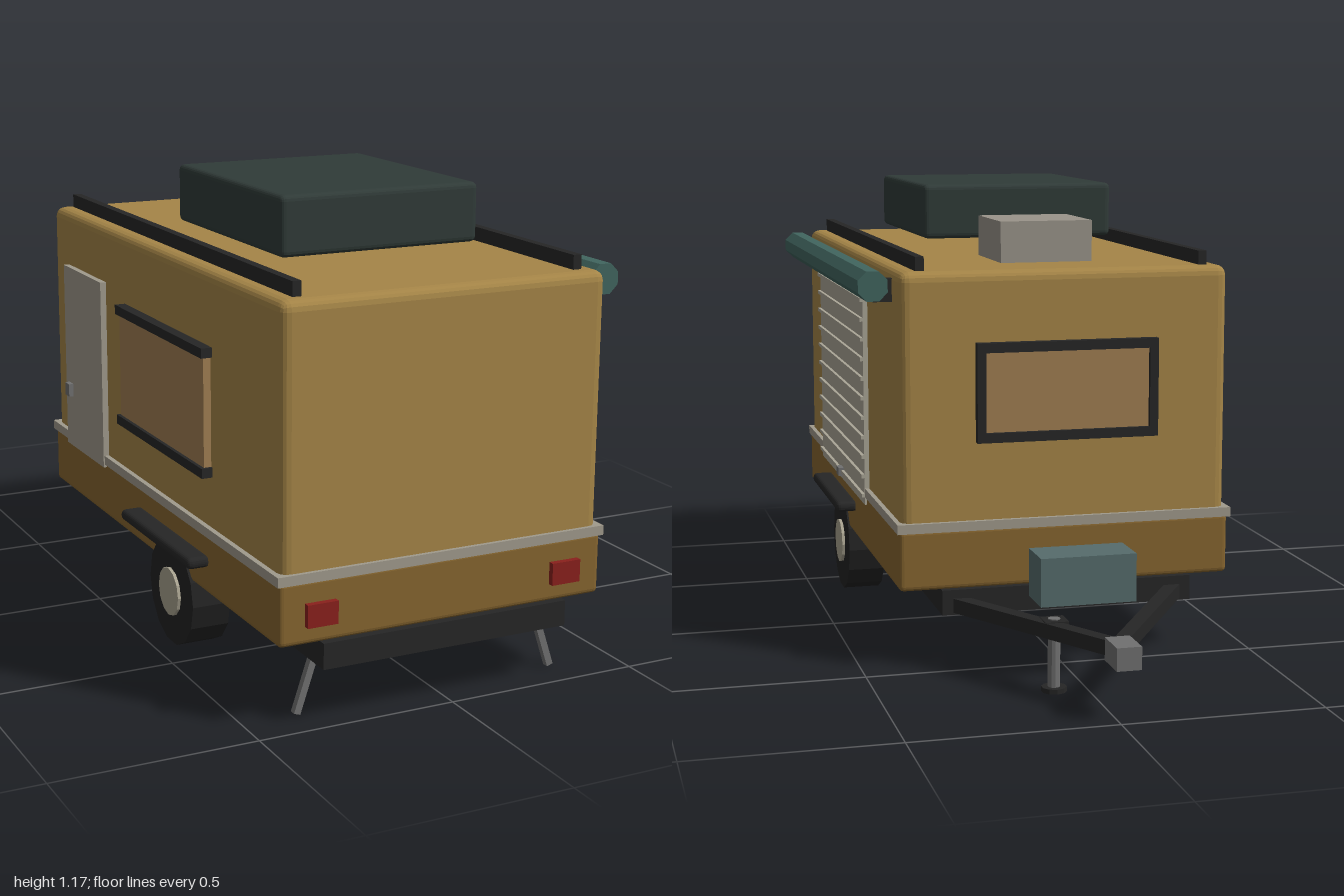
import * as THREE from 'three';
import { RoundedBoxGeometry } from 'three/addons/geometries/RoundedBoxGeometry.js';

const mat = (color) => new THREE.MeshStandardMaterial({ color, flatShading: true });
const M = {
  sand: mat(0xa58547), sandDark: mat(0x86652f), black: mat(0x262626), tyre: mat(0x222222),
  grey: mat(0xa09a8c), slat: mat(0xaaa596), metal: mat(0x707070), vent: mat(0x9a948a),
  slate: mat(0x303b38), teal: mat(0x41655f), toolbox: mat(0x566c6c), red: mat(0x8a201c),
  glass: mat(0xa07e52), hub: mat(0xa8a28f),
};
const CX = -0.018; // centre line of the trailer

export function createModel() {
  const model = new THREE.Group();
  const add = (name, geo, material, x = 0, y = 0, z = 0) => {
    const mesh = new THREE.Mesh(geo, material);
    mesh.name = name;
    mesh.position.set(x, y, z);
    model.add(mesh);
    return mesh;
  };
  // Box given by its extents; r bevels the edges
  const box = (name, material, [x0, x1], [y0, y1], [z0, z1], r = 0) => {
    const s = [x1 - x0, y1 - y0, z1 - z0];
    const geo = r ? new RoundedBoxGeometry(...s, 2, r) : new THREE.BoxGeometry(...s);
    return add(name, geo, material, (x0 + x1) / 2, (y0 + y1) / 2, (z0 + z1) / 2);
  };
  // Square or round bar between two points
  const bar = (name, material, a, b, w, h = w) => {
    const p = new THREE.Vector3(...a), q = new THREE.Vector3(...b);
    const mesh = add(name, new THREE.BoxGeometry(w, h, p.distanceTo(q)), material);
    mesh.position.copy(p).lerp(q, 0.5);
    mesh.lookAt(q);
    return mesh;
  };

  // Cabin, skirt and belt trim
  box('cabin', M.sand, [-0.437, 0.402], [0.3, 0.995], [-0.47, 0.98], 0.025);
  box('skirt', M.sandDark, [-0.444, 0.409], [0.206, 0.36], [-0.476, 0.985], 0.012);
  box('beltTrim', M.grey, [-0.45, 0.414], [0.353, 0.377], [-0.482, 0.99]);

  // Chassis, A-shaped drawbar and coupler
  box('chassis', M.black, [-0.34, 0.305], [0.145, 0.208], [-0.49, 1.0]);
  for (const s of [-1, 1])
    bar('drawbar', M.black, [CX + s * 0.28, 0.168, -0.48], [CX, 0.16, -0.92], 0.036);
  box('coupler', M.metal, [CX - 0.03, CX + 0.03], [0.13, 0.185], [-1.0, -0.905]);

  // Front jack
  box('jackBracket', M.black, [0.053, 0.111], [0.148, 0.183], [-0.75, -0.692]);
  add('jackPost', new THREE.CylinderGeometry(0.015, 0.015, 0.175, 10), M.metal, 0.082, 0.098, -0.72);
  add('jackFoot', new THREE.CylinderGeometry(0.031, 0.031, 0.012, 10), M.black, 0.082, 0.011, -0.72);

  // Storage box over the drawbar
  box('drawbarBox', M.toolbox, [-0.138, 0.102], [0.2, 0.32], [-0.675, -0.558]);

  // Parts mirrored across the centre line
  for (const s of [-1, 1]) {
    const span = (a, b) => (s > 0 ? [CX + a, CX + b] : [CX - b, CX - a]);
    const wheel = add('wheel', new THREE.CylinderGeometry(0.137, 0.137, 0.1, 14), M.tyre, CX + s * 0.382, 0.145, 0.378);
    wheel.rotation.z = Math.PI / 2;
    const hub = add('hub', new THREE.CylinderGeometry(0.062, 0.062, 0.02, 12), M.hub, CX + s * 0.43, 0.145, 0.378);
    hub.rotation.z = Math.PI / 2;
    box('fender', M.black, span(0.42, 0.48), [0.275, 0.303], [0.158, 0.598], 0.012);
    box('tailLight', M.red, span(0.285, 0.362), [0.25, 0.305], [0.975, 1.0]);
    box('roofRail', M.black, span(0.352, 0.374), [0.985, 1.03], [-0.435, 0.94]);
    bar('stabiliserLeg', M.metal, [CX + s * 0.293, 0.165, 0.905], [CX + s * 0.345, 0.008, 0.905], 0.017);
  }

  // Roof cargo box and vent
  box('cargoBox', M.slate, [-0.3, 0.223], [1.03, 1.175], [0.095, 0.695], 0.014);
  box('roofVent', M.vent, [-0.138, 0.102], [0.985, 1.1], [-0.275, -0.03]);

  // Roller shutter on the left side
  box('shutterPanel', M.slat, [0.39, 0.415], [0.333, 0.935], [-0.025, 0.7]);
  for (let i = 0; i < 11; i++) {
    const y = 0.358 + i * 0.0525;
    box('shutterSlat', M.slat, [0.41, 0.423], [y - 0.005, y + 0.005], [-0.025, 0.7]);
  }
  box('shutterHandle', M.metal, [0.415, 0.43], [0.346, 0.369], [0.315, 0.355]);

  // Rolled awning with brackets
  const awning = add('awning', new THREE.CylinderGeometry(0.04, 0.04, 1.295, 8), M.teal, 0.453, 0.956, 0.252);
  awning.rotation.set(Math.PI / 2, Math.PI / 8, 0);
  for (const z of [-0.36, 0.69, 0.855])
    box('awningBracket', M.black, [0.395, 0.45], [0.915, 0.973], [z - 0.013, z + 0.013]);

  // Door on the right side
  box('door', M.grey, [-0.453, -0.42], [0.345, 0.85], [-0.355, -0.075]);
  box('doorHandle', M.metal, [-0.466, -0.45], [0.49, 0.525], [-0.33, -0.3]);

  // Side window with top and bottom bars
  box('sideWindow', M.glass, [-0.456, -0.42], [0.515, 0.81], [0.068, 0.602]);
  for (const y of [0.515, 0.806])
    box('sideWindowBar', M.black, [-0.465, -0.43], [y - 0.012, y + 0.012], [0.06, 0.61]);

  // Framed window on the drawbar end
  box('endWindow', M.glass, [-0.24, 0.204], [0.585, 0.81], [-0.481, -0.46]);
  for (const y of [0.585, 0.808])
    box('endWindowBar', M.black, [-0.25, 0.214], [y - 0.012, y + 0.012], [-0.492, -0.46]);
  for (const x of [-0.239, 0.203])
    box('endWindowPost', M.black, [x - 0.011, x + 0.011], [0.573, 0.82], [-0.492, -0.46]);

  return model;
}
